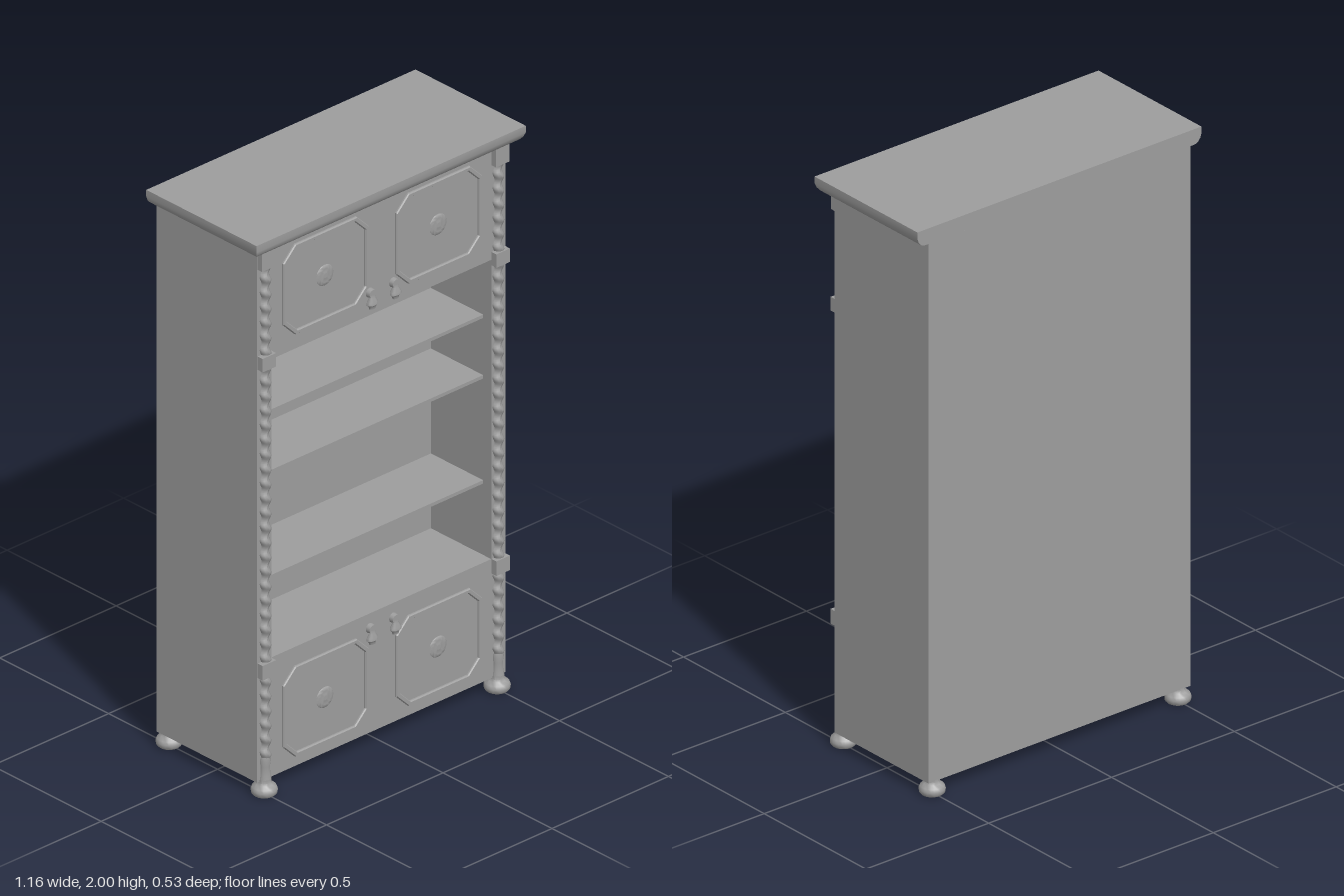
import * as THREE from 'three';
import { toCreasedNormals } from 'three/addons/utils/BufferGeometryUtils.js';

const mat = new THREE.MeshStandardMaterial({ color: 0x9d9d9d, side: THREE.DoubleSide });
const FRONT = 0.217, BACK = -0.244, SIDE = 0.533;

function add(parent, name, geo, x = 0, y = 0, z = 0) {
  const m = new THREE.Mesh(geo, mat);
  m.name = name;
  m.position.set(x, y, z);
  parent.add(m);
  return m;
}

// Box given by its limits
function slab(parent, name, x0, x1, y0, y1, z0, z1) {
  return add(parent, name, new THREE.BoxGeometry(x1 - x0, y1 - y0, z1 - z0),
    (x0 + x1) / 2, (y0 + y1) / 2, (z0 + z1) / 2);
}

const lathe = (pts, seg = 24) =>
  toCreasedNormals(new THREE.LatheGeometry(pts.map(p => new THREE.Vector2(...p)), seg), 0.7);

// Rectangle with cut corners
function octagon(Type, w, h, c) {
  const p = [[-w, -h + c], [-w + c, -h], [w - c, -h], [w, -h + c], [w, h - c], [w - c, h], [-w + c, h], [-w, h - c]];
  return new Type(p.map(q => new THREE.Vector2(...q)));
}

// Rope-twisted shaft: a round section whose centre winds around the axis
function twistedShaft(y0, y1) {
  const len = y1 - y0, pitch = 0.052;
  const g = new THREE.CylinderGeometry(0.019, 0.019, len, 12, Math.ceil(len / pitch * 8), true);
  const p = g.attributes.position;
  for (let i = 0; i < p.count; i++) {
    const a = (p.getY(i) + len / 2) / pitch * Math.PI * 2;
    p.setXYZ(i, p.getX(i) + 0.004 * Math.cos(a), p.getY(i), p.getZ(i) + 0.004 * Math.sin(a));
  }
  g.computeVertexNormals();
  return g;
}

// Moulded cornice: stacked sections, projecting on three sides and flush at the back
function corniceGeometry() {
  const profile = [[0, 1.945], [0.02, 1.946], [0.032, 1.952], [0.04, 1.962], [0.045, 1.976], [0.045, 2]];
  const pos = [], idx = [];
  for (const [o, y] of profile) {
    const x = SIDE + o, z = FRONT + o;
    pos.push(-x, y, BACK, -x, y, z, x, y, z, x, y, BACK);
  }
  for (let r = 0; r < profile.length - 1; r++) {
    for (let k = 0; k < 4; k++) {
      const a = r * 4 + k, b = r * 4 + (k + 1) % 4;
      idx.push(a, b, b + 4, a, b + 4, a + 4);
    }
  }
  const t = (profile.length - 1) * 4;
  idx.push(t, t + 1, t + 2, t, t + 2, t + 3, 0, 2, 1, 0, 3, 2);
  const g = new THREE.BufferGeometry();
  g.setAttribute('position', new THREE.Float32BufferAttribute(pos, 3));
  g.setIndex(idx);
  return toCreasedNormals(g, 0.8);
}

// Octagonal moulding with a flat rosette in the middle
function doorPanel(x, y) {
  const g = new THREE.Group();
  g.name = 'doorPanel';
  const shape = octagon(THREE.Shape, 0.181, 0.158, 0.05);
  shape.holes.push(octagon(THREE.Path, 0.172, 0.149, 0.047));
  add(g, 'doorMoulding', new THREE.ExtrudeGeometry(shape, {
    depth: 0.005, bevelEnabled: true, bevelThickness: 0.004, bevelSize: 0.003, bevelSegments: 1,
  }));
  const disc = add(g, 'rosette', lathe([[0.037, 0], [0.034, 0.003], [0.024, 0.004], [0.012, 0.003], [0.008, 0.005], [0, 0.006]]));
  disc.rotation.x = Math.PI / 2;
  g.position.set(x, y, FRONT);
  return g;
}

// Drop-shaped pull hanging from a small plate
function dropPull(x, y) {
  const g = new THREE.Group();
  g.name = 'dropPull';
  add(g, 'pullDrop', lathe([[0, -0.033], [0.012, -0.031], [0.014, -0.023], [0.022, -0.016], [0.021, -0.007], [0.012, 0.008], [0.011, 0.018]], 16), 0, 0, 0.012).scale.z = 0.6;
  const plate = add(g, 'pullPlate', new THREE.CylinderGeometry(0.015, 0.017, 0.016, 12), 0, 0.021, 0.008);
  plate.rotation.x = Math.PI / 2;
  g.position.set(x, y, FRONT);
  return g;
}

export function createModel() {
  const cabinet = new THREE.Group();
  cabinet.name = 'cabinet';

  // Front board with the shelf opening cut out
  const face = new THREE.Shape();
  face.moveTo(-SIDE, 0.05).lineTo(SIDE, 0.05).lineTo(SIDE, 1.945).lineTo(-SIDE, 1.945);
  const hole = new THREE.Path();
  hole.moveTo(-0.472, 0.475).lineTo(-0.472, 1.543).lineTo(0.472, 1.543).lineTo(0.472, 0.475);
  face.holes.push(hole);
  add(cabinet, 'frontBoard', new THREE.ExtrudeGeometry(face, { depth: 0.01, bevelEnabled: false }), 0, 0, FRONT - 0.01);

  // Carcass, open underneath
  slab(cabinet, 'backBoard', -SIDE, SIDE, 0.05, 1.945, BACK, BACK + 0.01);
  slab(cabinet, 'openingBack', -0.472, 0.472, 0.475, 1.543, -0.07, -0.06);
  slab(cabinet, 'openingFloor', -0.523, 0.523, 0.463, 0.475, BACK + 0.01, FRONT - 0.01);
  slab(cabinet, 'openingCeiling', -0.523, 0.523, 1.543, 1.555, BACK + 0.01, FRONT - 0.01);
  for (const y of [0.736, 1.111, 1.327]) {
    slab(cabinet, 'shelf', -0.472, 0.472, y - 0.006, y + 0.006, -0.06, 0.18);
  }
  add(cabinet, 'cornice', corniceGeometry());

  const footProfile = [[0, 0], [0.036, 0], [0.042, 0.007], [0.043, 0.018], [0.039, 0.028], [0.028, 0.037], [0.023, 0.044], [0.023, 0.056]];
  const postProfile = [[0.023, 0.05], [0.02, 0.07], [0.019, 0.1], [0.022, 0.12], [0.02, 0.135]];

  for (const s of [-1, 1]) {
    // Side walls and opening liners
    slab(cabinet, 'sideBoard', s * 0.528 - 0.005, s * 0.528 + 0.005, 0.05, 1.945, BACK + 0.01, FRONT - 0.01);
    slab(cabinet, 'openingSide', s * 0.477 - 0.005, s * 0.477 + 0.005, 0.475, 1.543, -0.07, FRONT - 0.01);

    // Twisted columns with square blocks
    add(cabinet, 'columnBase', lathe(postProfile, 16), s * 0.5, 0, 0.213);
    for (const [y0, y1] of [[0.13, 0.43], [0.47, 1.53], [1.565, 1.885]]) {
      add(cabinet, 'twistedColumn', twistedShaft(y0, y1), s * 0.5, (y0 + y1) / 2, 0.214);
    }
    for (const [y0, y1, z] of [[0.423, 0.475, 0.24], [1.523, 1.571, 0.24], [1.88, 1.945, 0.237]]) {
      slab(cabinet, 'columnBlock', s * 0.502 - 0.029, s * 0.502 + 0.029, y0, y1, 0.2, z);
    }

    // Bun feet
    for (const z of [0.214, -0.222]) add(cabinet, 'foot', lathe(footProfile), s * 0.5, 0, z);

    // Doors above and below the opening
    cabinet.add(doorPanel(s * 0.243, 1.755), doorPanel(s * 0.243, 0.248));
    cabinet.add(dropPull(s * 0.05, 1.6), dropPull(s * 0.05, 0.403));
  }
  return cabinet;
}
